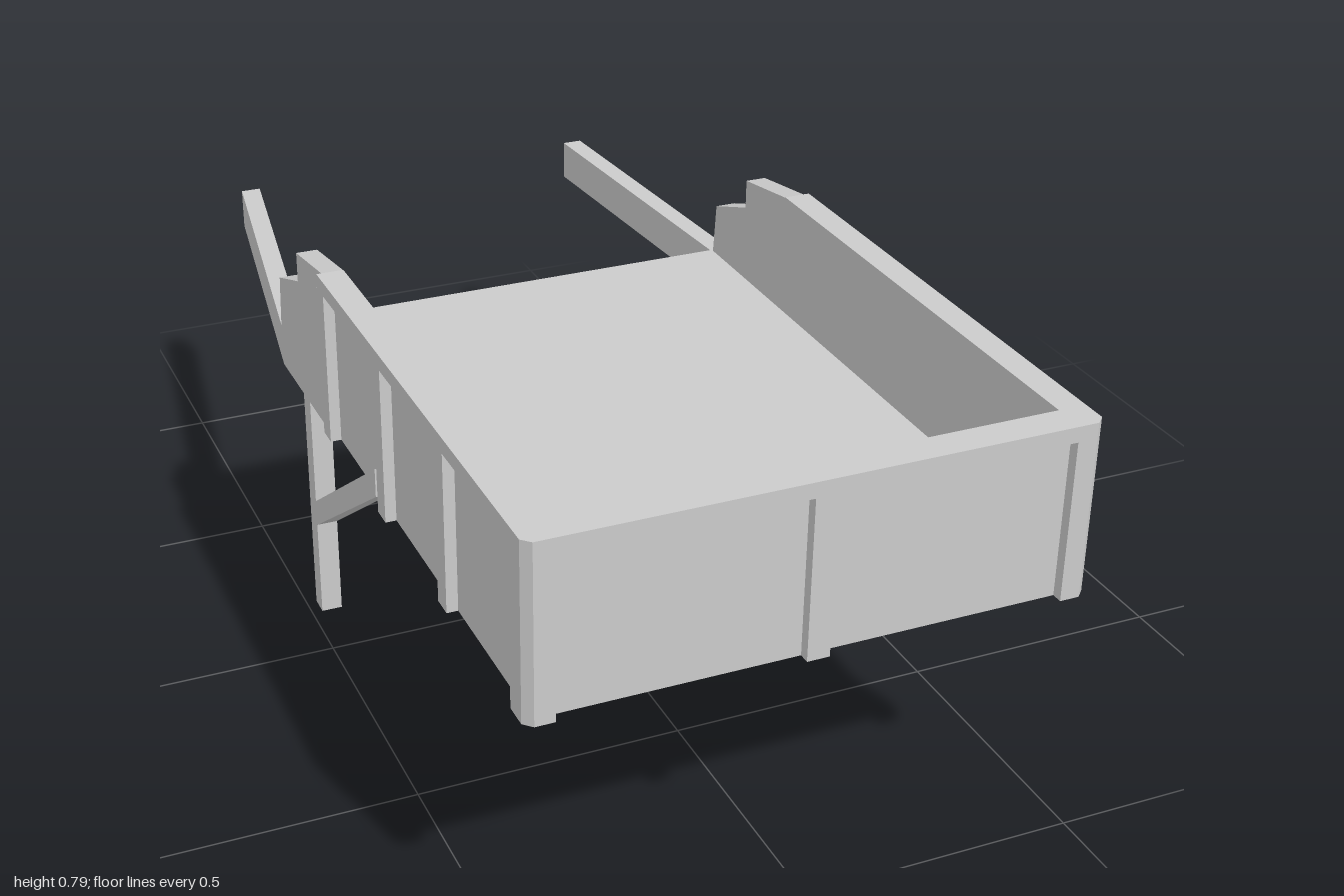
import * as THREE from 'three';

const material = new THREE.MeshStandardMaterial({ color: 0xcccccc, flatShading: true, side: THREE.DoubleSide });
const BOTTOM = 0.465, FLOOR = 0.55, RAIL = 0.757, TOP = 0.785;

function add(group, name, geometry) {
  const mesh = new THREE.Mesh(geometry, material);
  mesh.name = name;
  group.add(mesh);
  return mesh;
}

// Box given by its [min, max] range on each axis
function block(group, name, x, y, z) {
  const g = new THREE.BoxGeometry(x[1] - x[0], y[1] - y[0], z[1] - z[0]);
  g.translate((x[0] + x[1]) / 2, (y[0] + y[1]) / 2, (z[0] + z[1]) / 2);
  return add(group, name, g);
}

// Beam between two end sections, each { z, x: [min, max], y: [min, max] }
function beam(group, name, back, front) {
  const g = new THREE.BoxGeometry(1, 1, 1);
  const p = g.attributes.position;
  for (let i = 0; i < p.count; i++) {
    const end = p.getZ(i) > 0 ? front : back;
    p.setXYZ(i, end.x[p.getX(i) > 0 ? 1 : 0], end.y[p.getY(i) > 0 ? 1 : 0], end.z);
  }
  return add(group, name, g);
}

const shapeOf = (points) => new THREE.Shape(points.map(([a, b]) => new THREE.Vector2(a, b)));

// Plan outline [x, z] raised from y0 to y1
function raisePlan(group, name, points, y0, y1) {
  const g = new THREE.ExtrudeGeometry(shapeOf(points.map(([x, z]) => [x, -z])), { depth: y1 - y0, bevelEnabled: false });
  g.rotateX(-Math.PI / 2).translate(0, y0, 0);
  return add(group, name, g);
}

// Side outline [z, y] spanning x0 to x1
function sidePlate(group, name, points, x0, x1) {
  const g = new THREE.ExtrudeGeometry(shapeOf(points.map(([z, y]) => [-z, y])), { depth: x1 - x0, bevelEnabled: false });
  g.rotateY(Math.PI / 2).translate(x0, 0, 0);
  return add(group, name, g);
}

export function createModel() {
  const cart = new THREE.Group();
  cart.name = 'cart';

  // Tray floor and front wall
  block(cart, 'floor', [-0.44, 0.44], [BOTTOM, FLOOR], [-0.315, 0.94]);
  block(cart, 'frontPanel', [-0.47, 0.47], [BOTTOM, TOP - 0.002], [0.94, 0.98]);
  block(cart, 'frontStile', [-0.02, 0.02], [BOTTOM, RAIL], [0.98, 1]);

  // Top rail wrapping the front and both sides
  raisePlan(cart, 'topRail', [
    [-0.49, -0.005], [-0.49, 0.985], [-0.475, 1], [0.475, 1], [0.49, 0.985], [0.49, -0.005],
    [0.44, -0.005], [0.44, 0.94], [-0.44, 0.94], [-0.44, -0.005],
  ], RAIL, TOP);

  // Stepped rear end of the side walls
  const steps = [[0, TOP], [-0.17, 0.757], [-0.17, 0.7], [-0.3, 0.653], [-0.31, FLOOR], [-0.31, BOTTOM]];

  for (const s of [-1, 1]) {
    const label = s > 0 ? 'left' : 'right';
    const span = (a, b) => (s > 0 ? [a, b] : [-b, -a]);

    // Side wall: thin panel, thicker at the rear
    sidePlate(cart, label + 'Panel', [[0.96, BOTTOM], [0.96, RAIL], [0, RAIL], [0, BOTTOM]], ...span(0.44, 0.47));
    sidePlate(cart, label + 'RearWall', [[0, BOTTOM], ...steps], ...span(0.44, 0.48));

    // Chamfered corner post and side stiles
    raisePlan(cart, label + 'CornerPost',
      [[0.44, 0.94], [0.44, 1], [0.475, 1], [0.49, 0.985], [0.49, 0.94]].map(([x, z]) => [s * x, z]), BOTTOM, RAIL);
    for (const z of [-0.01, 0.305, 0.615]) {
      block(cart, label + 'Stile', span(0.46, 0.49), [BOTTOM, RAIL], [z, z + 0.04]);
    }

    // Leg and diagonal brace
    block(cart, label + 'Leg', span(0.44, 0.48), [0, BOTTOM], [-0.175, -0.135]);
    beam(cart, label + 'Brace',
      { z: -0.135, x: span(0.44, 0.48), y: [0.197, 0.25] },
      { z: 0.305, x: span(0.465, 0.493), y: [0.495, 0.55] });

    // Handle, leaning inwards to the rear
    const tip = s > 0 ? [0.39, 0.43] : [-0.37, -0.33];
    beam(cart, label + 'Handle',
      { z: -1, x: tip, y: [BOTTOM, 0.547] },
      { z: -0.308, x: span(0.44, 0.48), y: [BOTTOM, 0.547] });
  }
  return cart;
}
